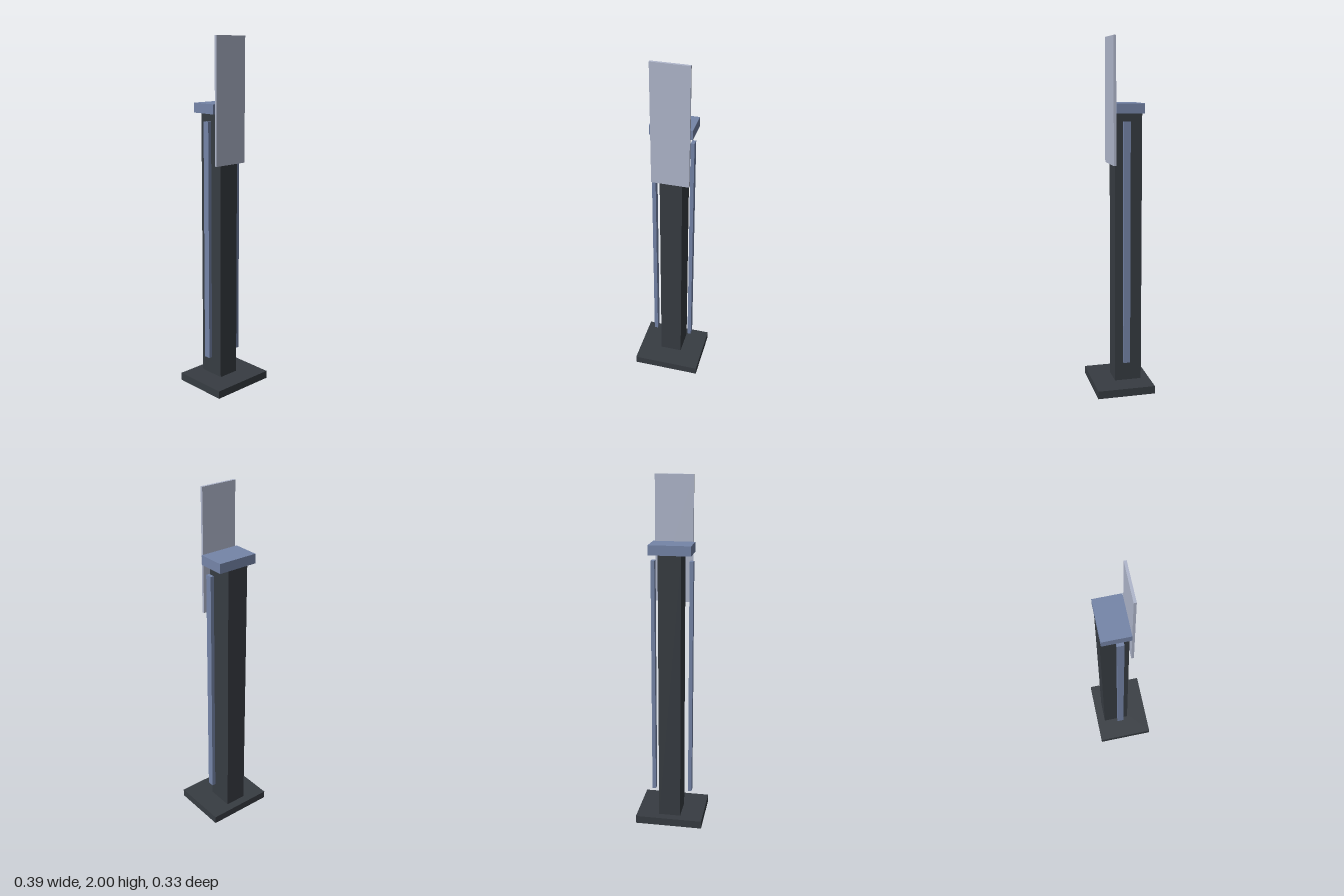
import * as THREE from 'three';

export function createModel() {
  const model = new THREE.Group();
  model.name = 'signPost';

  const material = (name, color) => {
    const m = new THREE.MeshStandardMaterial({ color });
    m.name = name;
    return m;
  };
  const charcoal = material('charcoal', 0x373c42);
  const slateBlue = material('slateBlue', 0x7585a8);
  const paleGrey = material('paleGrey', 0xb0b7cc);

  // Box given by its minimum and maximum corners
  const box = (name, mat, [x0, y0, z0], [x1, y1, z1]) => {
    const mesh = new THREE.Mesh(new THREE.BoxGeometry(x1 - x0, y1 - y0, z1 - z0), mat);
    mesh.position.set((x0 + x1) / 2, (y0 + y1) / 2, (z0 + z1) / 2);
    mesh.name = name;
    model.add(mesh);
    return mesh;
  };

  // Floor plate and column
  box('base', charcoal, [-0.194, 0, -0.165], [0.194, 0.045, 0.165]);
  box('column', charcoal, [-0.063, 0.045, -0.117], [0.063, 1.588, 0.038]);

  // Cap on the column, with the upright panel in front of it
  box('cap', slateBlue, [-0.117, 1.588, -0.118], [0.117, 1.642, 0.038]);
  box('panel', paleGrey, [-0.106, 1.305, 0.04], [0.106, 2, 0.054]);

  // Slim rails beside the column
  const left = box('leftRail', slateBlue, [0.097, 0.17, -0.038], [0.118, 1.545, 0]);
  const right = left.clone();
  right.name = 'rightRail';
  right.position.x *= -1;
  model.add(right);

  return model;
}
